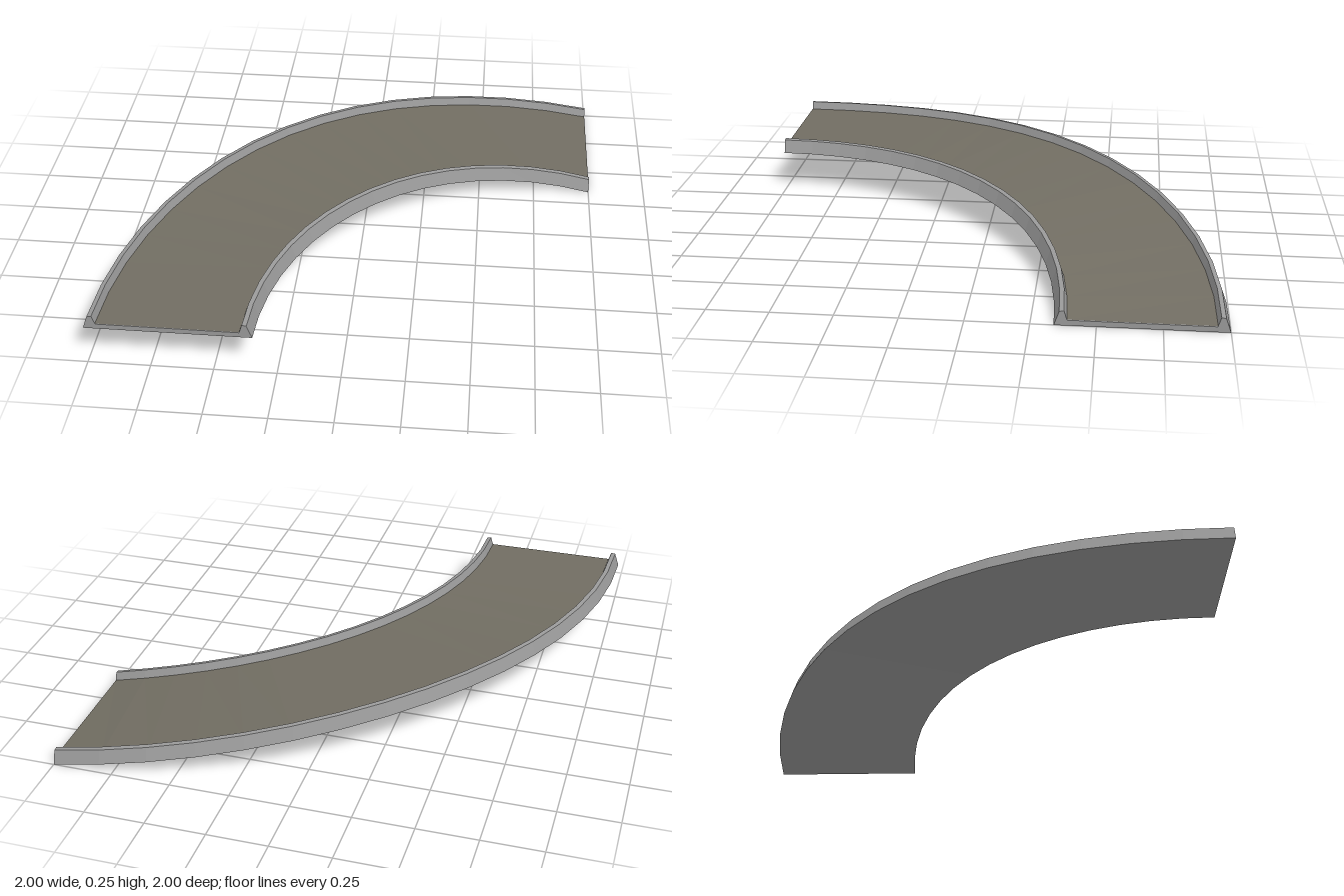
import * as THREE from 'three';

const SEGMENTS = 16;
const INNER = 1.34, OUTER = 2.0;

// Point on the track: radius r about (1, 1), height h above the underside, t from 0 to 1 along the turn
function trackPoint(r, h, t) {
  const a = t * Math.PI / 2;
  const drop = 0.175 * (1 - t ** 3);
  const bank = 0.03 * Math.sin(2 * a) ** 2 * (r - INNER) / (OUTER - INNER);
  return [1 - r * Math.cos(a), h + drop + bank, 1 - r * Math.sin(a)];
}

// Sweep a counter-clockwise [radius, height] profile along the turn
function sweep(profile, closed) {
  const pos = [];
  const put = (p, t) => pos.push(...trackPoint(p[0], p[1], t));
  const edges = closed ? profile.length : profile.length - 1;
  for (let j = 0; j < SEGMENTS; j++) {
    const t0 = j / SEGMENTS, t1 = (j + 1) / SEGMENTS;
    for (let i = 0; i < edges; i++) {
      const a = profile[i], b = profile[(i + 1) % profile.length];
      put(a, t0); put(b, t0); put(b, t1);
      put(a, t0); put(b, t1); put(a, t1);
    }
  }
  // End caps
  if (closed) {
    const contour = profile.map(p => new THREE.Vector2(p[0], p[1]));
    for (const [a, b, c] of THREE.ShapeUtils.triangulateShape(contour, [])) {
      put(profile[a], 1); put(profile[b], 1); put(profile[c], 1);
      put(profile[a], 0); put(profile[c], 0); put(profile[b], 0);
    }
  }
  const geometry = new THREE.BufferGeometry();
  geometry.setAttribute('position', new THREE.Float32BufferAttribute(pos, 3));
  geometry.computeVertexNormals();
  return geometry;
}

export function createModel() {
  const group = new THREE.Group();
  group.name = 'bankedCurveTrack';
  const railGrey = new THREE.MeshStandardMaterial({ color: 0x999999 });
  railGrey.name = 'rail grey';
  const floorBrown = new THREE.MeshStandardMaterial({ color: 0x716d62 });
  floorBrown.name = 'floor brown grey';

  const add = (name, profile, closed, material) => {
    const mesh = new THREE.Mesh(sweep(profile, closed), material);
    mesh.name = name;
    group.add(mesh);
  };

  // Slab under the road, with a tapered rail along each edge
  const rail = [[0, 0], [0.02, 0.057], [0.038, 0.06], [0.05, 0.022]];
  const outerRail = rail.map(([d, h]) => [OUTER - d, h]);
  const innerRail = rail.map(([d, h]) => [INNER + d, h]).reverse();
  add('trackBody', [...outerRail, ...innerRail], true, railGrey);

  // Road surface between the rails
  add('roadSurface', [[OUTER - 0.049, 0.025], [INNER + 0.049, 0.025]], false, floorBrown);
  return group;
}
